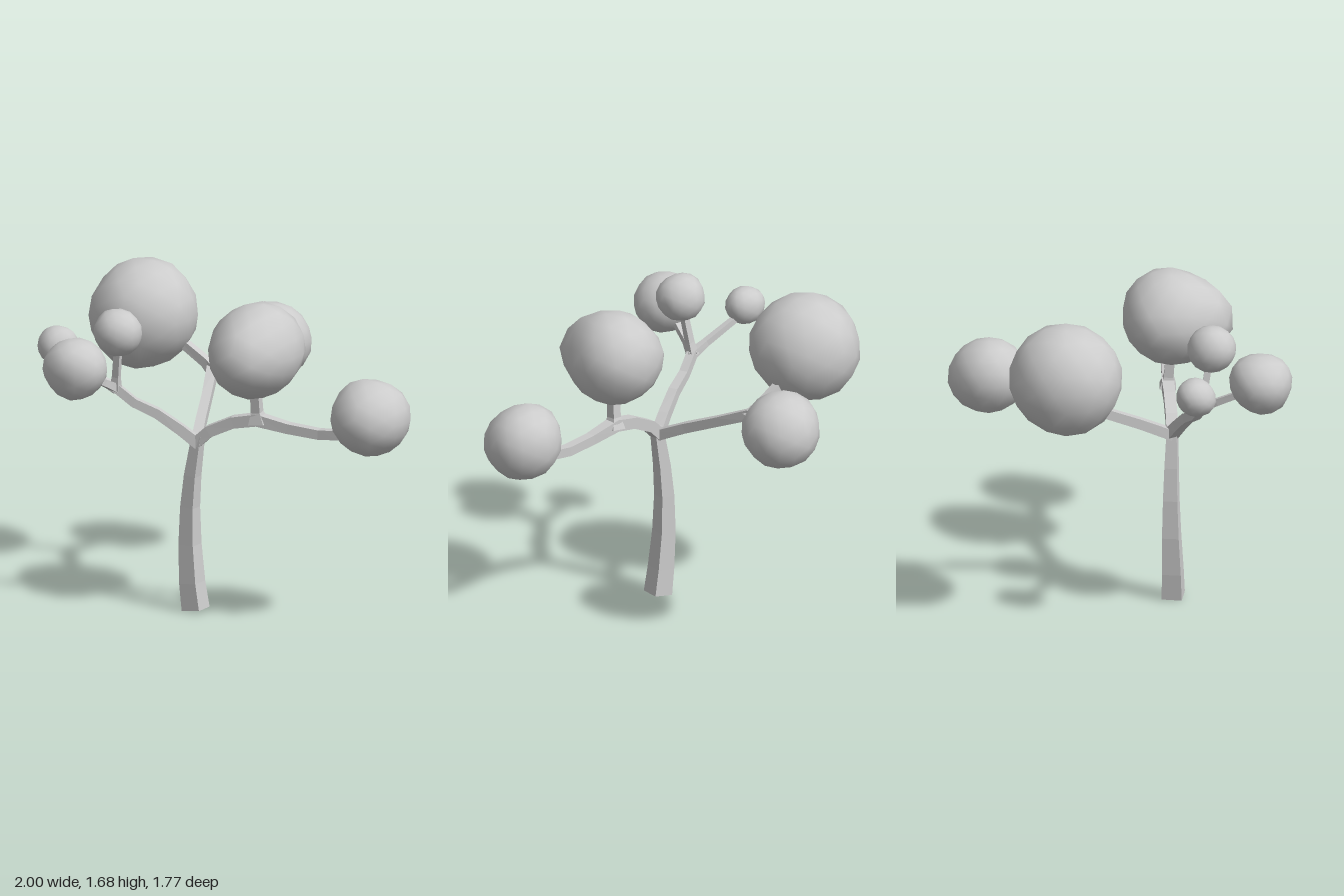
import * as THREE from 'three';
import { mergeVertices } from 'three/addons/utils/BufferGeometryUtils.js';

const material = new THREE.MeshStandardMaterial({ color: 0xcccccc });
const barkMaterial = new THREE.MeshStandardMaterial({ color: 0xcccccc, flatShading: true });
const V = (p) => new THREE.Vector3(...p);

// Square-section limb: points are [x, y, z, width], ref steers the section's roll
function limb(name, points, ref) {
  const centres = points.map((p) => V(p.slice(0, 3)));
  const positions = [], index = [];
  centres.forEach((c, i) => {
    const dir = centres[Math.min(i + 1, centres.length - 1)].clone()
      .sub(centres[Math.max(i - 1, 0)]).normalize();
    const side = dir.clone().cross(ref).normalize();
    const up = side.clone().cross(dir);
    const h = points[i][3] / 2;
    for (const [a, b] of [[-1, -1], [1, -1], [1, 1], [-1, 1]]) {
      const v = c.clone().addScaledVector(side, a * h).addScaledVector(up, b * h);
      positions.push(v.x, v.y, v.z);
    }
  });
  for (let i = 0; i < centres.length - 1; i++) {
    for (let j = 0; j < 4; j++) {
      const a = i * 4 + j, b = i * 4 + (j + 1) % 4;
      index.push(a, a + 4, b, b, a + 4, b + 4);
    }
  }
  // end caps
  const e = (centres.length - 1) * 4;
  index.push(0, 1, 2, 0, 2, 3, e, e + 2, e + 1, e, e + 3, e + 2);
  const geometry = new THREE.BufferGeometry();
  geometry.setAttribute('position', new THREE.Float32BufferAttribute(positions, 3));
  geometry.setIndex(index);
  geometry.computeVertexNormals();
  const mesh = new THREE.Mesh(geometry, barkMaterial);
  mesh.material.side = THREE.DoubleSide;
  mesh.name = name;
  return mesh;
}

// Lumpy low-poly ball fitted to the box min..max; bumps are [x, y, z, amount]
function foliage(name, min, max, bumps) {
  let geometry = new THREE.IcosahedronGeometry(1, 2);
  geometry.deleteAttribute('uv');
  geometry.deleteAttribute('normal');
  geometry = mergeVertices(geometry, 1e-4);
  const pos = geometry.attributes.position;
  const dirs = bumps.map((b) => V(b.slice(0, 3)).normalize());
  const v = new THREE.Vector3();
  for (let i = 0; i < pos.count; i++) {
    v.fromBufferAttribute(pos, i).normalize();
    let r = 1 + 0.015 * Math.sin(i * 12.9898 + min[0] * 40);
    dirs.forEach((d, k) => { r += bumps[k][3] * Math.max(0, v.dot(d)) ** 4; });
    v.multiplyScalar(r);
    pos.setXYZ(i, v.x, v.y, v.z);
  }
  geometry.computeBoundingBox();
  const box = geometry.boundingBox;
  const size = box.getSize(new THREE.Vector3());
  const centre = box.getCenter(new THREE.Vector3());
  geometry.translate(-centre.x, -centre.y, -centre.z);
  geometry.scale(...V(max).sub(V(min)).divide(size).toArray());
  geometry.translate(...V(min).add(V(max)).multiplyScalar(0.5).toArray());
  geometry.computeVertexNormals();
  const mesh = new THREE.Mesh(geometry, material);
  mesh.name = name;
  return mesh;
}

export function createModel() {
  const tree = new THREE.Group();
  tree.name = 'tree';
  const up = new THREE.Vector3(0, 1, 0);

  // Trunk, bowed slightly to the right
  tree.add(limb('trunk', [
    [-0.175, 0.01, 0.27, 0.105], [-0.195, 0.15, 0.268, 0.098], [-0.21, 0.35, 0.262, 0.087],
    [-0.21, 0.55, 0.26, 0.075], [-0.195, 0.72, 0.262, 0.066], [-0.17, 0.88, 0.265, 0.055],
    [-0.16, 0.94, 0.265, 0.05],
  ], new THREE.Vector3(-0.15, 0, 1)));

  // Left branch with its upright spur
  tree.add(limb('leftBranch', [
    [-0.18, 0.89, 0.265, 0.06], [-0.1, 0.965, 0.26, 0.06], [0.03, 1.025, 0.25, 0.06],
    [0.16, 1.05, 0.24, 0.064], [0.33, 1.02, 0.235, 0.052], [0.5, 1.005, 0.23, 0.05],
    [0.62, 1.015, 0.235, 0.05], [0.74, 1.06, 0.245, 0.045],
  ], up));
  tree.add(limb('leftSpur', [
    [0.165, 1.03, 0.24, 0.085], [0.158, 1.09, 0.245, 0.05], [0.152, 1.27, 0.26, 0.045],
  ], new THREE.Vector3(0, 0, 1)));

  // Back branch forking in two
  tree.add(limb('backBranch', [
    [-0.17, 0.89, 0.27, 0.055], [-0.215, 0.97, 0.1, 0.052], [-0.26, 1.045, -0.08, 0.05],
    [-0.315, 1.13, -0.28, 0.055], [-0.295, 1.145, -0.36, 0.05], [-0.245, 1.16, -0.48, 0.045],
    [-0.19, 1.18, -0.6, 0.04],
  ], up));
  tree.add(limb('backSpur', [
    [-0.29, 1.11, -0.28, 0.06], [-0.36, 1.165, -0.3, 0.048], [-0.55, 1.29, -0.31, 0.042],
  ], up));

  // Right branch forking in three
  tree.add(limb('rightBranch', [
    [-0.16, 0.89, 0.26, 0.058], [-0.25, 0.97, 0.3, 0.054], [-0.36, 1.055, 0.345, 0.05],
    [-0.47, 1.11, 0.385, 0.046], [-0.56, 1.19, 0.42, 0.046],
  ], up));
  tree.add(limb('rightOuterTwig', [
    [-0.55, 1.18, 0.42, 0.045], [-0.65, 1.225, 0.415, 0.034], [-0.87, 1.33, 0.385, 0.03],
  ], up));
  tree.add(limb('rightFrontTwig', [
    [-0.55, 1.18, 0.41, 0.045], [-0.59, 1.23, 0.5, 0.036], [-0.64, 1.31, 0.66, 0.032],
  ], up));
  tree.add(limb('rightUpperTwig', [
    [-0.56, 1.18, 0.42, 0.05], [-0.55, 1.25, 0.43, 0.036], [-0.525, 1.45, 0.46, 0.032],
  ], new THREE.Vector3(0, 0, 1)));

  // Foliage balls
  const balls = [
    ['largeBackFoliage', [-0.97, 1.11, -0.57], [-0.42, 1.68, 0.01],
      [[1, 0.5, 0.2, 0.06], [-0.6, -1, 0.3, 0.08], [0, 1, -0.1, 0.04]]],
    ['centreFoliage', [-0.1, 1.17, 0.01], [0.4, 1.67, 0.575],
      [[0, 0, 1, 0.3], [0.9, 0.1, -0.6, 0.1], [-0.9, 0, -0.5, 0.1], [0.3, 1, -0.5, 0.1]]],
    ['rearFoliage', [-0.35, 1.01, -0.89], [0.05, 1.41, -0.48],
      [[0.3, -0.3, -1, 0.1], [0.2, -1, -0.2, 0.06], [-0.5, 0.8, 0.2, 0.05]]],
    ['leftFoliage', [0.59, 0.93, 0.06], [1.0, 1.33, 0.465],
      [[0, -0.1, 1, 0.15], [0.8, 0.5, -0.6, 0.1], [-0.6, 0.9, -0.1, 0.1], [-0.9, -0.3, 0, 0.06]]],
    ['rightFrontFoliage', [-0.82, 1.195, 0.56], [-0.49, 1.51, 0.885],
      [[0, 0.7, -0.8, 0.08], [0, -1, 0.3, 0.14], [0, 0.7, 0.7, 0.08]]],
    ['rightUpperFoliage', [-0.645, 1.375, 0.345], [-0.4, 1.62, 0.595],
      [[-0.5, 0.9, 0, 0.08], [0.8, 0.5, 0.2, 0.06]]],
    ['rightOuterFoliage', [-1, 1.27, 0.29], [-0.79, 1.47, 0.495],
      [[0.9, 0.4, -0.2, 0.14], [0, -0.4, 1, 0.12], [-0.5, 0.4, -0.6, 0.08]]],
  ];
  for (const ball of balls) tree.add(foliage(...ball));
  return tree;
}
